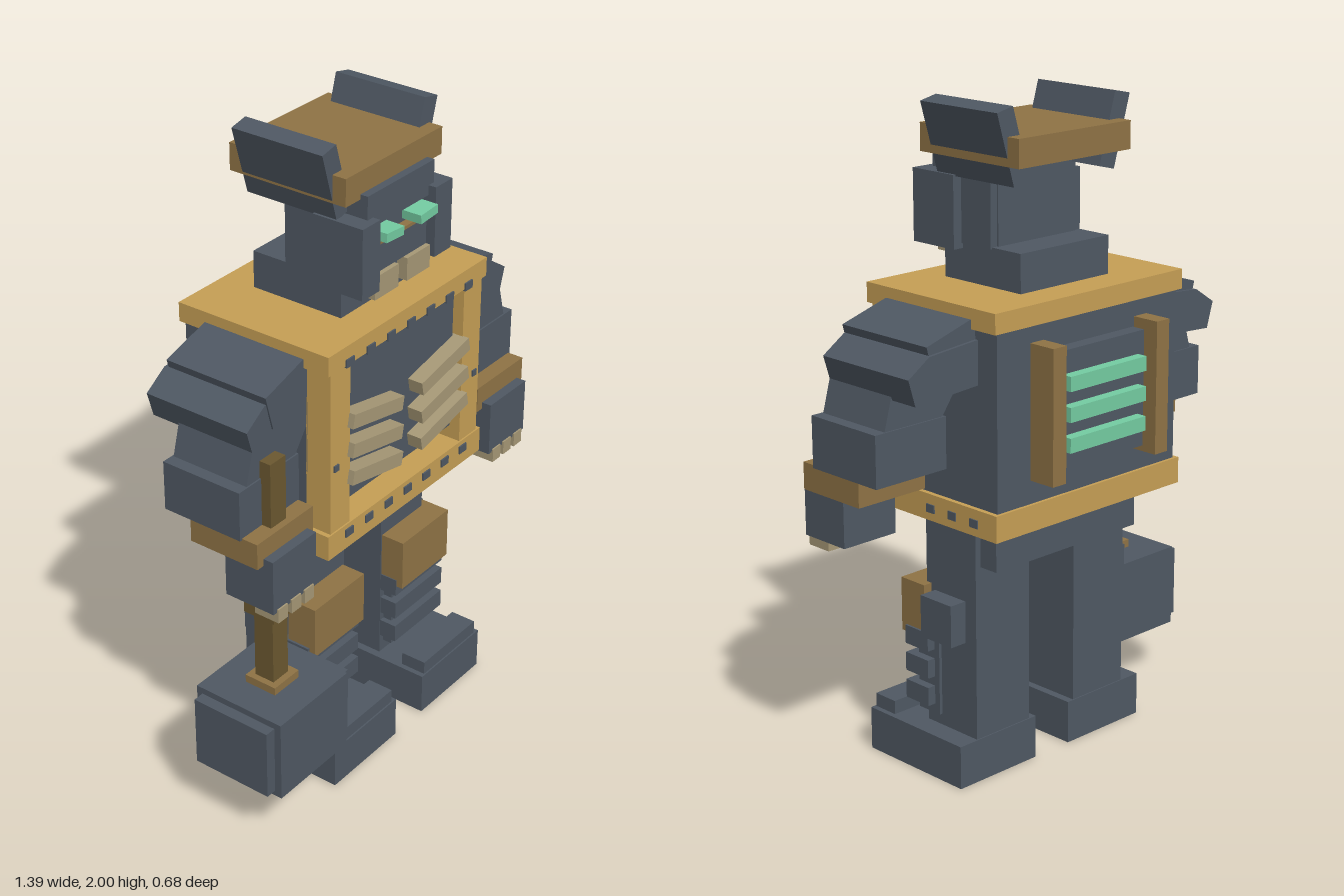
import * as THREE from 'three';

const MID = 0.025; // the body's own mirror plane

export function createModel() {
  const model = new THREE.Group();
  model.name = 'robot';
  const material = (name, color) => {
    const m = new THREE.MeshStandardMaterial({ color });
    m.name = name;
    return m;
  };
  const steel = material('dark steel', 0x4f5863);
  const gold = material('gold trim', 0xc69f55);
  const brass = material('aged brass', 0x8f7345);
  const wood = material('dark handle', 0x6b5830);
  const bone = material('bone', 0xa69876);
  const glow = material('green glow', 0x74cca2);

  // Box given by its limits, optionally turned about z
  const box = (name, mat, [x0, x1], [y0, y1], [z0, z1], turn = 0) => {
    const mesh = new THREE.Mesh(new THREE.BoxGeometry(x1 - x0, y1 - y0, z1 - z0), mat);
    mesh.position.set((x0 + x1) / 2, (y0 + y1) / 2, (z0 + z1) / 2);
    mesh.rotation.z = turn;
    mesh.name = name;
    model.add(mesh);
  };
  const flip = (x) => 2 * MID - x;
  // A box on the model's left and its mirror image on the right
  const pair = (name, mat, x, y, z, turn = 0) => {
    box(name + 'Left', mat, x, y, z, turn);
    box(name + 'Right', mat, [flip(x[1]), flip(x[0])], y, z, -turn);
  };
  // An outline extruded along z, on both sides
  const prismPair = (name, mat, points, [z0, z1]) => {
    for (const side of ['Left', 'Right']) {
      const outline = points.map(([x, y]) => new THREE.Vector2(side === 'Left' ? x : flip(x), y));
      const geo = new THREE.ExtrudeGeometry(new THREE.Shape(outline), { depth: z1 - z0, bevelEnabled: false });
      geo.translate(0, 0, z0);
      const mesh = new THREE.Mesh(geo, mat);
      mesh.name = name + side;
      model.add(mesh);
    }
  };

  // Torso with gold rims and front columns
  box('torso', steel, [-0.34, 0.39], [0.82, 1.46], [-0.25, 0.185]);
  box('chestPanel', steel, [-0.24, 0.29], [0.94, 1.39], [0.18, 0.235]);
  box('topRim', gold, [-0.355, 0.405], [1.41, 1.47], [-0.26, 0.27]);
  box('bottomRim', gold, [-0.355, 0.405], [0.81, 0.89], [-0.26, 0.27]);
  pair('frontColumn', gold, [0.3, 0.39], [0.88, 1.42], [0.18, 0.265]);
  pair('columnRivet', steel, [0.355, 0.375], [1.09, 1.11], [0.26, 0.27]);
  for (let i = -3; i <= 3; i++) {
    const x = MID + i * 0.095;
    for (const y of [1.405, 0.85]) {
      box('rimRivet', steel, [x - 0.018, x + 0.018], [y, y + 0.025], [0.26, 0.275]);
    }
  }
  for (const z of [0.01, -0.08, -0.17]) {
    pair('sideRivet', steel, [0.4, 0.409], [0.835, 0.86], [z - 0.016, z + 0.016]);
  }

  // Slanting ribs on the chest
  for (const y of [1.205, 1.11, 1.02]) {
    pair('rib', bone, [0.07, 0.31], [y - 0.022, y + 0.022], [0.22, 0.285], 0.2);
  }

  // Back vent with glowing slats between two posts
  box('vent', steel, [-0.155, 0.2], [0.98, 1.33], [-0.295, -0.24]);
  for (const y of [1.24, 1.15, 1.06]) {
    box('ventSlat', glow, [-0.13, 0.18], [y - 0.022, y + 0.022], [-0.328, -0.29]);
  }
  pair('ventPost', brass, [0.21, 0.262], [0.96, 1.36], [-0.34, -0.245]);

  // Neck and head
  box('neck', steel, [-0.155, 0.2], [1.46, 1.585], [-0.15, 0.16]);
  box('head', steel, [-0.13, 0.18], [1.57, 1.84], [-0.04, 0.205]);
  box('brow', steel, [-0.13, 0.18], [1.75, 1.85], [0.1, 0.23]);
  box('muzzle', steel, [-0.11, 0.16], [1.6, 1.685], [0.15, 0.225]);
  box('mouthLine', brass, [-0.105, 0.155], [1.685, 1.695], [0.2, 0.23]);
  pair('cheek', steel, [0.155, 0.235], [1.565, 1.78], [0.085, 0.255]);
  pair('jaw', steel, [0.16, 0.205], [1.58, 1.77], [-0.035, 0.09]);
  pair('tooth', bone, [0.045, 0.155], [1.53, 1.6], [0.14, 0.24]);
  pair('eye', glow, [0.065, 0.145], [1.708, 1.735], [0.2, 0.27], 0.07);
  box('cap', brass, [-0.195, 0.25], [1.835, 1.918], [-0.195, 0.205]);
  prismPair('ear', steel, [[0.165, 1.79], [0.225, 1.775], [0.288, 1.987], [0.228, 2]], [-0.15, 0.16]);

  // Layered shoulders, arms and hands
  prismPair('shoulderPlate', steel, [[0.36, 1.44], [0.41, 1.437], [0.57, 1.39], [0.54, 1.28], [0.36, 1.32]], [-0.165, 0.185]);
  prismPair('outerShoulder', steel, [[0.38, 1.38], [0.57, 1.365], [0.646, 1.315], [0.622, 1.235], [0.38, 1.25]], [-0.175, 0.18]);
  prismPair('upperArm', steel, [[0.38, 1.3], [0.61, 1.3], [0.66, 1.12], [0.46, 1.12], [0.38, 1.23]], [-0.08, 0.18]);
  pair('forearm', steel, [0.43, 0.69], [0.995, 1.15], [-0.085, 0.185]);
  pair('bracer', brass, [0.435, 0.682], [0.918, 1.0], [0, 0.238]);
  pair('hand', steel, [0.462, 0.655], [0.765, 0.94], [0.1, 0.27]);
  for (const x of [0.5, 0.558, 0.618]) {
    pair('finger', bone, [x - 0.021, x + 0.021], [0.73, 0.775], [0.19, 0.275]);
  }

  // Hammer in the right hand
  box('hammerHandle', wood, [-0.545, -0.478], [0.44, 1.205], [0.15, 0.217]);
  box('upperCollar', wood, [-0.565, -0.455], [0.695, 0.735], [0.13, 0.238]);
  box('lowerCollar', brass, [-0.565, -0.455], [0.44, 0.47], [0.13, 0.238]);
  box('hammerHead', steel, [-0.665, -0.355], [0.182, 0.445], [0.03, 0.338]);
  box('hammerFaces', steel, [-0.7, -0.32], [0.2, 0.425], [0.05, 0.315]);

  // Hips, legs with shin bands, knee pads and feet
  box('pelvis', steel, [-0.265, 0.315], [0.673, 0.82], [-0.165, 0.1]);
  pair('leg', steel, [0.12, 0.335], [0.1, 0.78], [-0.1, 0.11]);
  pair('kneePad', brass, [0.125, 0.365], [0.41, 0.578], [0.09, 0.19]);
  pair('kneeJoint', steel, [0.3, 0.393], [0.43, 0.56], [-0.055, 0.075]);
  pair('shin', steel, [0.14, 0.345], [0.17, 0.42], [0.05, 0.14]);
  for (const y of [0.2, 0.288, 0.375]) {
    pair('shinBand', steel, [0.122, 0.372], [y, y + 0.058], [0.07, 0.168]);
  }
  pair('foot', steel, [0.095, 0.405], [0, 0.135], [-0.104, 0.295]);
  pair('toeCap', steel, [0.112, 0.388], [0.13, 0.178], [0.205, 0.29]);

  return model;
}
